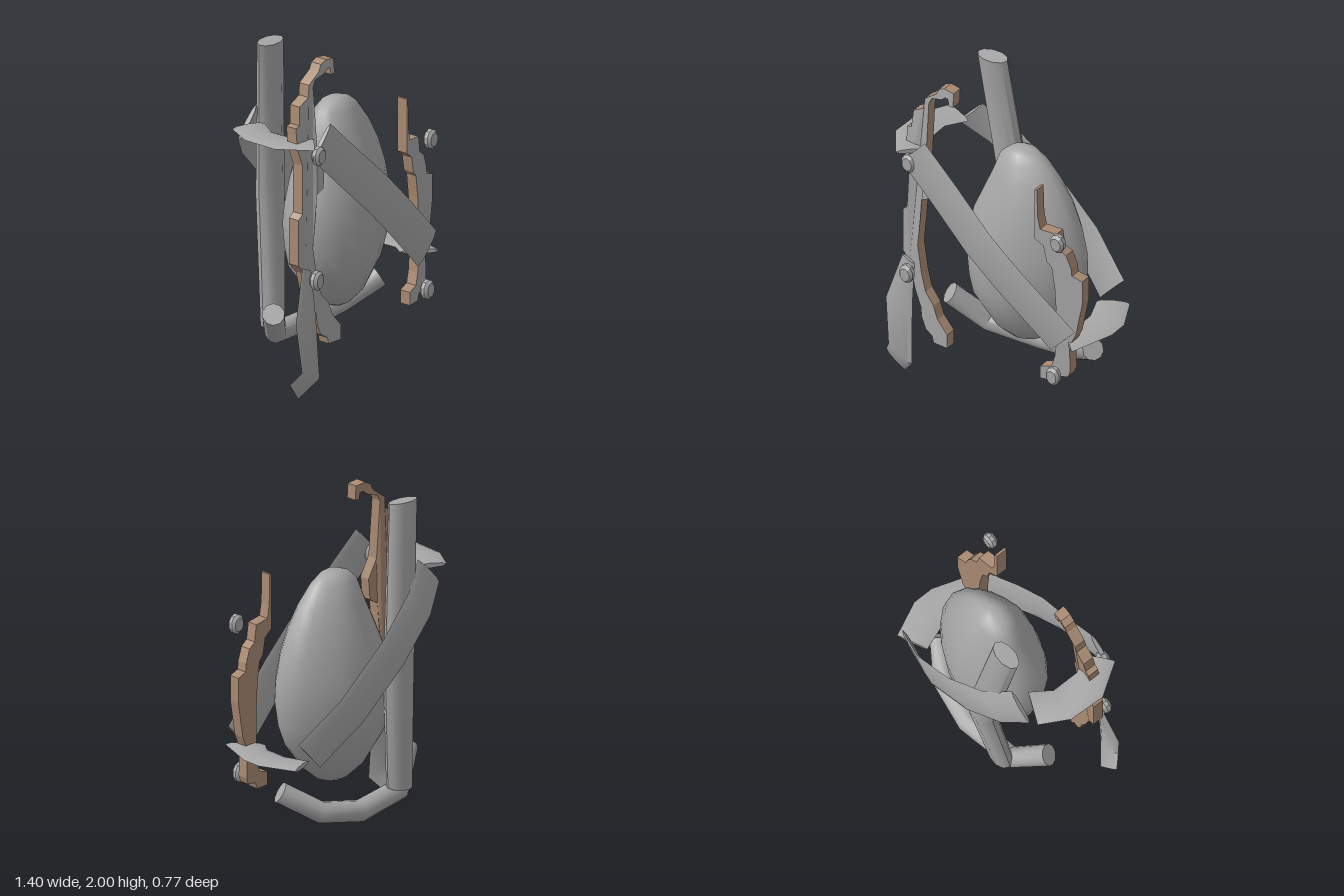
import * as THREE from 'three';
import { toCreasedNormals } from 'three/addons/utils/BufferGeometryUtils.js';

const V = (x, y, z) => new THREE.Vector3(x, y, z);

// Elliptical sections swept along their centres: c centre, w half-width vector, t half-thickness.
// pinch narrows the thickness towards the +w side.
function sweep(sections, sides, { pinch = 0, crease = 0.7 } = {}) {
  const pos = [], index = [], last = sections.length - 1;
  sections.forEach(({ c, w, t }, i) => {
    const d = sections[Math.min(i + 1, last)].c.clone().sub(sections[Math.max(i - 1, 0)].c);
    const tv = d.cross(w).setLength(t);
    for (let j = 0; j < sides; j++) {
      const a = (j / sides) * Math.PI * 2, k = 1 - pinch * Math.max(0, Math.cos(a));
      const p = c.clone().addScaledVector(w, Math.cos(a)).addScaledVector(tv, Math.sin(a) * k);
      pos.push(p.x, p.y, p.z);
    }
  });
  for (let i = 0; i < last; i++) for (let j = 0; j < sides; j++) {
    const a = i * sides + j, b = i * sides + (j + 1) % sides;
    index.push(a, b, a + sides, b, b + sides, a + sides);
  }
  const top = last * sides;
  for (let j = 1; j < sides - 1; j++) index.push(0, j + 1, j, top, top + j, top + j + 1);
  const g = new THREE.BufferGeometry();
  g.setAttribute('position', new THREE.Float32BufferAttribute(pos, 3));
  g.setIndex(index);
  return toCreasedNormals(g, crease);
}

// Jagged plate with a painted front, curved in depth by zAt(x, y)
function plate(outline, zAt, depth = 0.07) {
  const shape = new THREE.Shape(outline.map(([x, y]) => new THREE.Vector2(x, y)));
  const g = new THREE.ExtrudeGeometry(shape, { depth, bevelEnabled: false });
  const p = g.attributes.position;
  for (let i = 0; i < p.count; i++) p.setZ(i, p.getZ(i) - depth / 2 + zAt(p.getX(i), p.getY(i)));
  const lids = g.groups[0].count;
  g.clearGroups();
  g.addGroup(0, lids / 2, 1);
  g.addGroup(lids / 2, lids / 2, 0);
  g.addGroup(lids, p.count - lids, 1);
  g.computeVertexNormals();
  return g;
}

export function createModel() {
  const group = new THREE.Group();
  const grey = new THREE.MeshStandardMaterial({ name: 'grey', color: 0xa6a6a6 });
  const brown = new THREE.MeshStandardMaterial({ name: 'brown', color: 0xa88a72 });
  const add = (name, geometry, material = grey) => {
    const m = new THREE.Mesh(geometry, material);
    m.name = name;
    group.add(m);
    return m;
  };

  // Egg: y, min x, max x, half depth
  const egg = [
    [0.34, 0.03, 0.13, 0.04], [0.365, -0.03, 0.19, 0.085], [0.44, -0.12, 0.28, 0.16], [0.61, -0.255, 0.41, 0.235],
    [0.73, -0.28, 0.455, 0.26], [0.88, -0.295, 0.48, 0.27], [1.0, -0.28, 0.475, 0.262], [1.15, -0.245, 0.445, 0.238],
    [1.3, -0.18, 0.39, 0.202], [1.43, -0.125, 0.32, 0.155], [1.54, -0.085, 0.235, 0.11],
    [1.59, -0.03, 0.17, 0.075], [1.61, 0.03, 0.11, 0.04],
  ].map(([y, a, b, t]) => ({ c: V((a + b) / 2, y, 0), w: V((b - a) / 2, 0, 0), t }));
  add('egg', sweep(egg, 20, { pinch: 0.25, crease: 0.8 }));

  // Bent back branch
  add('backBranch', sweep([
    { c: V(-0.28, 2.0, -0.2), w: V(0.1, 0, 0), t: 0.055 },
    { c: V(-0.17, 1.02, -0.29), w: V(0.1, 0, 0), t: 0.07 },
    { c: V(-0.245, 0.27, -0.21), w: V(0.085, 0.01, 0), t: 0.06 },
  ], 10));

  // Curved root under the egg
  add('bottomRoot', sweep([
    [-0.46, 0.42, -0.03], [-0.28, 0.23, -0.16], [0.05, 0.195, -0.21], [0.32, 0.24, -0.17], [0.51, 0.37, -0.04],
  ].map((p) => ({ c: V(...p), w: V(0, 0.044, -0.048), t: 0.065 })), 10));

  // Diagonal straps before and behind the egg
  const diagonal = ([x, z]) => ({ c: V(x, 1.09 - (x - 0.025) * 0.95, z), w: V(0.082, 0.087, 0), t: 0.014 });
  add('frontStrap', sweep([[-0.475, 0.335], [-0.25, 0.345], [0, 0.368], [0.2, 0.352], [0.525, 0.3]].map(diagonal), 8));
  add('backStrap', sweep([[-0.45, -0.23], [-0.3, -0.325], [-0.05, -0.37], [0.25, -0.355], [0.49, -0.27]].map(diagonal), 8));

  // Level strap loops joining them: outer x, z, inner x, z
  const loop = (y, rows) => sweep(rows.map(([ox, oz, ix, iz]) => ({
    c: V((ox + ix) / 2, y, (oz + iz) / 2), w: V((ox - ix) / 2, 0, (oz - iz) / 2), t: 0.015,
  })), 8);
  add('rightLoop', loop(1.545, [
    [-0.595, -0.225, -0.405, -0.14], [-0.69, -0.055, -0.49, -0.02], [-0.7, 0.17, -0.49, 0.15], [-0.575, 0.365, -0.43, 0.245],
  ]));
  add('leftLoop', loop(0.585, [
    [0.605, -0.28, 0.43, -0.2], [0.7, -0.075, 0.485, -0.05], [0.7, 0.055, 0.485, 0.1], [0.605, 0.33, 0.44, 0.17],
  ]));

  // Hanging strap end with a folded tip
  add('strapEnd', sweep([
    { c: V(-0.54, 0.79, 0.28), w: V(0.04, -0.02, 0), t: 0.012 },
    { c: V(-0.585, 0.5, 0.31), w: V(0.09, 0, 0), t: 0.014 },
    { c: V(-0.565, 0.16, 0.33), w: V(0.08, -0.04, 0), t: 0.014 },
    { c: V(-0.637, 0.066, 0.265), w: V(0.056, -0.062, -0.015), t: 0.01 },
  ], 8));

  // Jagged side plates
  add('rightPlate', plate([
    [-0.32, 2.0], [-0.36, 1.98], [-0.38, 1.94], [-0.46, 1.88], [-0.47, 1.81], [-0.54, 1.77], [-0.55, 1.66], [-0.58, 1.65],
    [-0.58, 1.53], [-0.55, 1.42], [-0.56, 1.13], [-0.59, 1.1], [-0.59, 0.82], [-0.54, 0.76], [-0.5, 0.6],
    [-0.455, 0.49], [-0.45, 0.43], [-0.42, 0.36], [-0.37, 0.33], [-0.36, 0.29], [-0.26, 0.29], [-0.26, 0.38],
    [-0.33, 0.46], [-0.36, 0.54], [-0.42, 0.61], [-0.45, 0.72], [-0.48, 0.9], [-0.46, 1.08], [-0.45, 1.22],
    [-0.4, 1.25], [-0.385, 1.38], [-0.43, 1.5], [-0.43, 1.86], [-0.41, 1.9], [-0.34, 1.92], [-0.31, 1.945],
    [-0.29, 1.94], [-0.285, 1.9], [-0.255, 1.9], [-0.255, 1.99],
  ], (x, y) => 0.27 - 0.15 * Math.max(0, -x - 0.3) - 0.06 * Math.max(0, (y - 1.3) / 0.7)), [grey, brown]);
  add('leftPlate', plate([
    [0.335, 1.58], [0.335, 1.25], [0.39, 1.21], [0.41, 1.11], [0.44, 1.08], [0.46, 0.94], [0.47, 0.76], [0.47, 0.58],
    [0.46, 0.48], [0.44, 0.41], [0.37, 0.39], [0.37, 0.31], [0.46, 0.31], [0.475, 0.35], [0.54, 0.36], [0.555, 0.4],
    [0.55, 0.57], [0.59, 0.66], [0.63, 0.88], [0.63, 1.03], [0.565, 1.05], [0.56, 1.1], [0.53, 1.18],
    [0.485, 1.21], [0.47, 1.31], [0.37, 1.32], [0.355, 1.4], [0.35, 1.58],
  ], (x) => 0.268 - 0.17 * (x - 0.35)), [grey, brown]);

  // Bevelled oval studs
  const profile = [[0, -0.028], [0.7, -0.028], [1, -0.012], [1, 0.012], [0.7, 0.028], [0, 0.028]];
  const stud = new THREE.LatheGeometry(profile.map(([r, y]) => new THREE.Vector2(r * 0.06, y)), 10);
  stud.rotateX(Math.PI / 2).scale(0.78, 1, 1);
  const studGeometry = toCreasedNormals(stud, 0.4);
  [[-0.5, 1.485], [-0.515, 0.73], [0.515, 1.295], [0.485, 0.385]].forEach(([x, y], i) => {
    add('stud' + (i + 1), studGeometry).position.set(x, y, 0.335);
  });

  return group;
}
